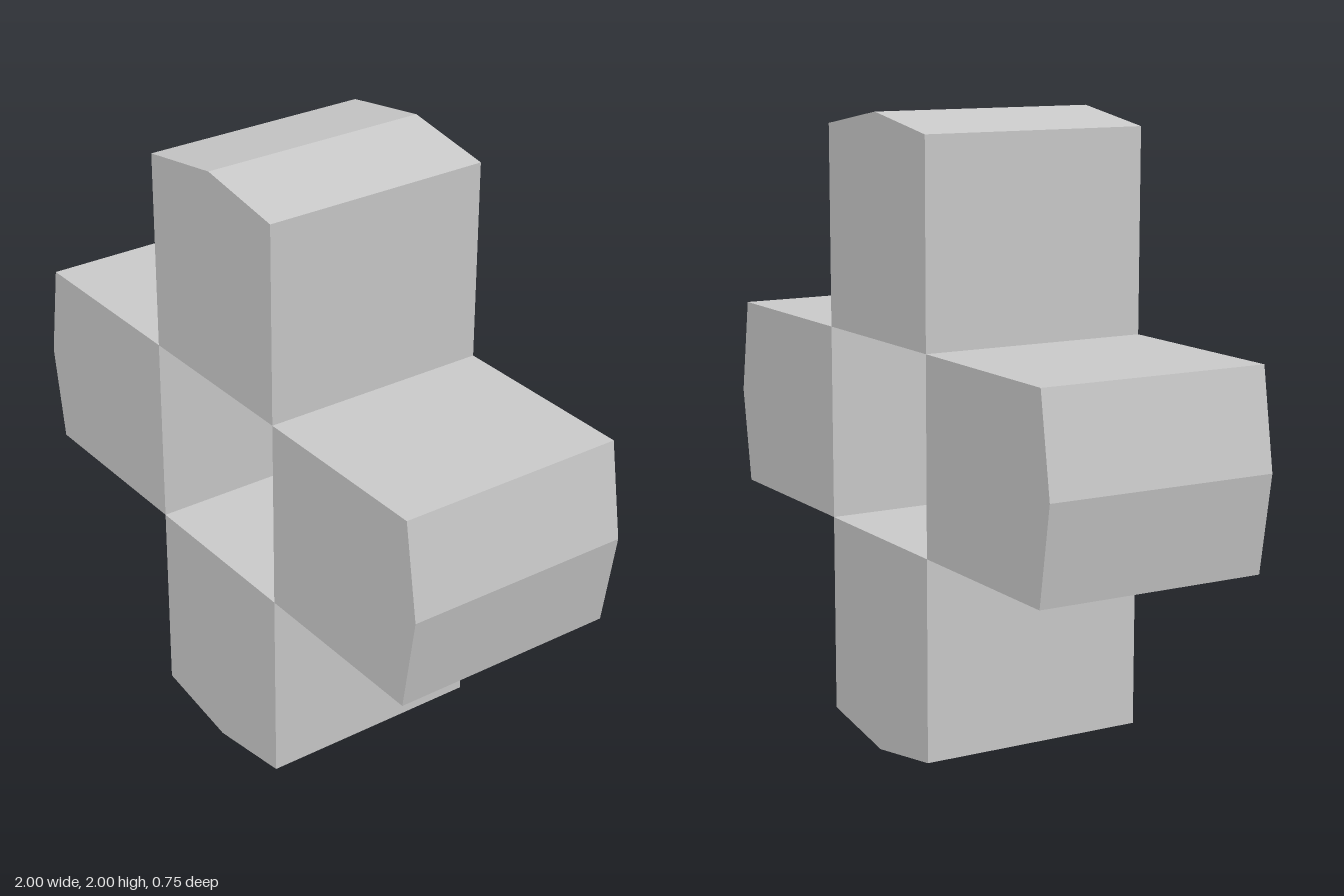
import * as THREE from 'three';

const HALF = 0.31;      // half width of each arm, and of the central opening
const SHOULDER = 0.95;  // distance from centre where the pointed end starts
const TIP = 1;          // distance from centre to the ridge
const DEPTH = 0.75;

export function createModel() {
  const group = new THREE.Group();
  group.name = 'cross';
  const material = new THREE.MeshStandardMaterial({ color: 0xcccccc, flatShading: true });

  // One arm: a block with a shallow ridged outer end
  const profile = new THREE.Shape([
    new THREE.Vector2(-HALF, HALF),
    new THREE.Vector2(HALF, HALF),
    new THREE.Vector2(HALF, SHOULDER),
    new THREE.Vector2(0, TIP),
    new THREE.Vector2(-HALF, SHOULDER),
  ]);
  const armGeometry = new THREE.ExtrudeGeometry(profile, { depth: DEPTH, bevelEnabled: false });
  armGeometry.translate(0, 0, -DEPTH / 2);

  // Four arms around the open square centre
  ['topArm', 'rightArm', 'bottomArm', 'leftArm'].forEach((name, i) => {
    const arm = new THREE.Mesh(armGeometry, material);
    arm.name = name;
    arm.position.y = 1;
    arm.rotation.z = i * Math.PI / 2;
    group.add(arm);
  });

  return group;
}
